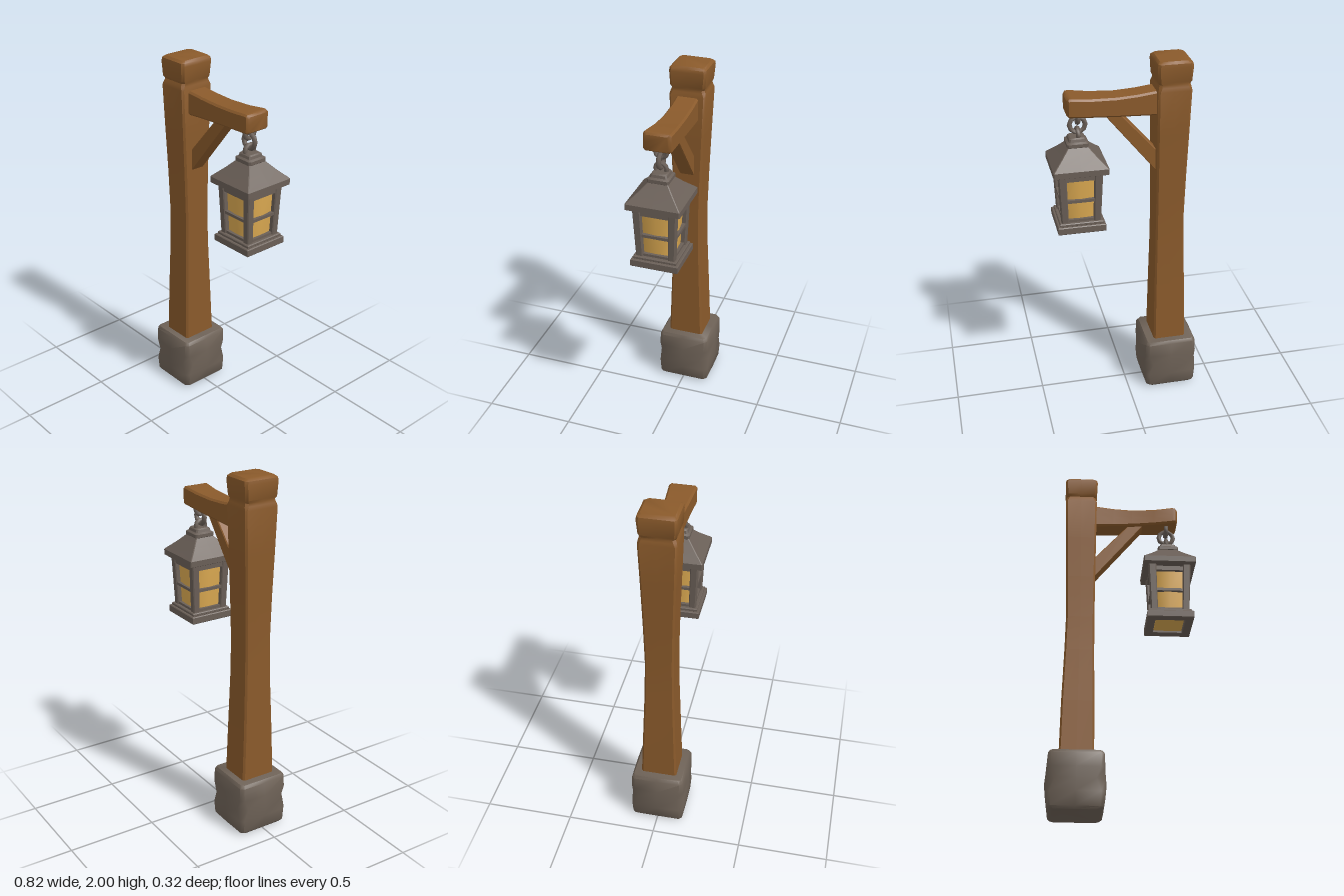
import * as THREE from 'three';
import { toCreasedNormals } from 'three/addons/utils/BufferGeometryUtils.js';

const mat = (name, color) => {
  const m = new THREE.MeshStandardMaterial({ color });
  m.name = name;
  return m;
};

// Lofts bevelled rectangles along an axis. Station: [t, u0, u1, v0, v1, bevel, bulge]
// axis 'y': u = z, v = x; axis 'x': u = y, v = z
function loft(stations, axis = 'y', crease = 0.7) {
  const pos = [], idx = [], n = 12;
  for (const [t, u0, u1, v0, v1, b = 0.01, m = 0] of stations) {
    const uc = (u0 + u1) / 2, vc = (v0 + v1) / 2;
    const ring = [
      [u1, v0 + b], [u1 + m, vc], [u1, v1 - b], [u1 - b, v1], [uc, v1 + m], [u0 + b, v1],
      [u0, v1 - b], [u0 - m, vc], [u0, v0 + b], [u0 + b, v0], [uc, v0 - m], [u1 - b, v0],
    ];
    for (const [u, v] of ring) pos.push(...(axis === 'y' ? [v, t, u] : [t, u, v]));
  }
  const last = (stations.length - 1) * n;
  for (let a = 0; a < last; a += n) {
    for (let k = 0; k < n; k++) {
      const j = (k + 1) % n;
      idx.push(a + k, a + j, a + n + j, a + k, a + n + j, a + n + k);
    }
  }
  for (let k = 1; k < n - 1; k++) idx.push(0, k + 1, k, last, last + k, last + k + 1);
  const g = new THREE.BufferGeometry();
  g.setAttribute('position', new THREE.Float32BufferAttribute(pos, 3));
  g.setIndex(idx);
  return toCreasedNormals(g, crease);
}

// Square station centred on the axis
const sq = (y, h, b = 0.006, m = 0) => [y, -h, h, -h, h, b, m];

export function createModel() {
  const wood = mat('wood', 0x8a5a2b);
  const stone = mat('stone', 0x6e6257);
  const metal = mat('metal', 0x6a5f57);
  const glass = mat('lampGlass', 0xdba951);

  const model = new THREE.Group();
  model.name = 'lanternPost';
  const add = (parent, name, geometry, material) => {
    const mesh = new THREE.Mesh(geometry, material);
    mesh.name = name;
    parent.add(mesh);
    return mesh;
  };

  // Rough stone footing with chipped corners
  add(model, 'stoneBase', loft([
    [0, -0.135, 0.135, -0.38, -0.12, 0.02],
    [0.015, -0.147, 0.145, -0.392, -0.105, 0.016, 0.002],
    [0.09, -0.152, 0.15, -0.398, -0.098, 0.02, 0.006],
    [0.16, -0.152, 0.15, -0.4, -0.097, 0.045, 0.011],
    [0.22, -0.151, 0.15, -0.398, -0.098, 0.022, 0.007],
    [0.295, -0.148, 0.146, -0.393, -0.102, 0.016, 0.002],
    [0.312, -0.138, 0.136, -0.383, -0.112, 0.016],
  ], 'y', 0.9), stone);

  // Post, waisted in the middle, with a notch below its head
  add(model, 'post', loft([
    [0.28, -0.102, 0.102, -0.34, -0.155],
    [0.6, -0.09, 0.092, -0.334, -0.158],
    [0.9, -0.079, 0.083, -0.324, -0.162],
    [1.1, -0.076, 0.081, -0.32, -0.163],
    [1.35, -0.082, 0.086, -0.325, -0.162],
    [1.6, -0.09, 0.094, -0.332, -0.16],
    [1.84, -0.099, 0.101, -0.338, -0.158],
    [1.86, -0.094, 0.096, -0.334, -0.164, 0.014],
    [1.875, -0.09, 0.09, -0.33, -0.166, 0.014],
    [1.89, -0.095, 0.098, -0.337, -0.159, 0.012],
    [1.97, -0.102, 0.102, -0.342, -0.154, 0.012],
    [1.988, -0.1, 0.1, -0.339, -0.156, 0.014],
    [2, -0.086, 0.086, -0.322, -0.168, 0.014],
  ]), wood);

  // Horizontal arm, flaring toward its end
  add(model, 'arm', loft([
    [-0.18, 1.7, 1.837, -0.06, 0.062],
    [-0.06, 1.707, 1.824, -0.064, 0.058],
    [0.05, 1.712, 1.818, -0.066, 0.058],
    [0.18, 1.721, 1.822, -0.07, 0.066],
    [0.285, 1.73, 1.833, -0.075, 0.076],
    [0.302, 1.731, 1.831, -0.074, 0.075],
    [0.312, 1.739, 1.821, -0.062, 0.063],
  ], 'x'), wood);

  // Diagonal brace
  const braceShape = new THREE.Shape([[-0.17, 1.37], [0.115, 1.722], [0.03, 1.722], [-0.17, 1.495]]
    .map(([x, y]) => new THREE.Vector2(x, y)));
  const brace = new THREE.ExtrudeGeometry(braceShape, {
    depth: 0.07, bevelSize: 0.005, bevelThickness: 0.005, bevelOffset: -0.005, bevelSegments: 1,
  });
  add(model, 'brace', brace.translate(0, 0, -0.035), wood);

  // Chain links between arm and lantern
  const chain = new THREE.Group();
  chain.name = 'chain';
  model.add(chain);
  for (const [name, y, r, turn] of [
    ['upperLink', 1.71, 0.032, Math.PI / 2],
    ['ring', 1.665, 0.042, 0],
    ['lowerLink', 1.615, 0.03, Math.PI / 2],
  ]) {
    const link = add(chain, name, new THREE.TorusGeometry(r, 0.013, 6, 10), metal);
    link.position.set(0.25, y, 0);
    link.rotation.y = turn;
  }

  const lantern = new THREE.Group();
  lantern.name = 'lantern';
  lantern.position.set(0.257, 0, -0.002);
  model.add(lantern);

  // Pyramid roof with a square cap
  add(lantern, 'roof', loft([
    sq(1.428, 0.14, 0.004), sq(1.432, 0.147, 0.004), sq(1.464, 0.147, 0.004),
    sq(1.47, 0.141, 0.004), sq(1.515, 0.094, 0.004), sq(1.565, 0.048, 0.004),
  ], 'y', 0.5), metal);
  add(lantern, 'roofCap', loft([
    sq(1.552, 0.05, 0.008), sq(1.56, 0.058, 0.008), sq(1.578, 0.058, 0.008),
    sq(1.586, 0.047, 0.008), sq(1.6, 0.043, 0.008), sq(1.606, 0.036, 0.008),
  ], 'y', 0.5), metal);

  // Glowing glass body, slightly bowed
  add(lantern, 'glassBody', loft([
    sq(1.103, 0.079, 0.008), sq(1.15, 0.08, 0.01, 0.004), sq(1.27, 0.086, 0.014, 0.009), sq(1.42, 0.092, 0.01, 0.004),
  ], 'y', 0.9), glass);

  // Open square base frames
  for (const [name, y, height, half] of [['baseFrame', 1.09, 0.042, 0.13], ['baseStep', 1.13, 0.018, 0.118]]) {
    const square = (h, P) => new P([[-h, -h], [h, -h], [h, h], [-h, h]].map(([x, z]) => new THREE.Vector2(x, z)));
    const shape = square(half, THREE.Shape);
    shape.holes.push(square(0.082, THREE.Path));
    const g = new THREE.ExtrudeGeometry(shape, {
      depth: height - 0.008, bevelSize: 0.004, bevelThickness: 0.004, bevelOffset: -0.004, bevelSegments: 1,
    });
    add(lantern, name, g.rotateX(-Math.PI / 2).translate(0, y + 0.004, 0), metal);
  }

  // Four identical sides: a tapered corner post and three rails each
  const cornerGeo = loft([
    [1.135, 0.068, 0.106, 0.068, 0.106, 0.005],
    [1.435, 0.076, 0.119, 0.076, 0.119, 0.005],
  ]);
  const rails = [['topRail', 1.405, 0.026, 0.103], ['middleRail', 1.272, 0.016, 0.098], ['bottomRail', 1.154, 0.016, 0.09]];
  for (let i = 0; i < 4; i++) {
    const side = new THREE.Group();
    side.name = 'frameSide' + (i + 1);
    side.rotation.y = i * Math.PI / 2;
    lantern.add(side);
    add(side, 'cornerPost', cornerGeo, metal);
    for (const [name, y, h, z] of rails) {
      add(side, name, new THREE.BoxGeometry(0.17, h, 0.02), metal).position.set(0, y, z);
    }
  }
  return model;
}
